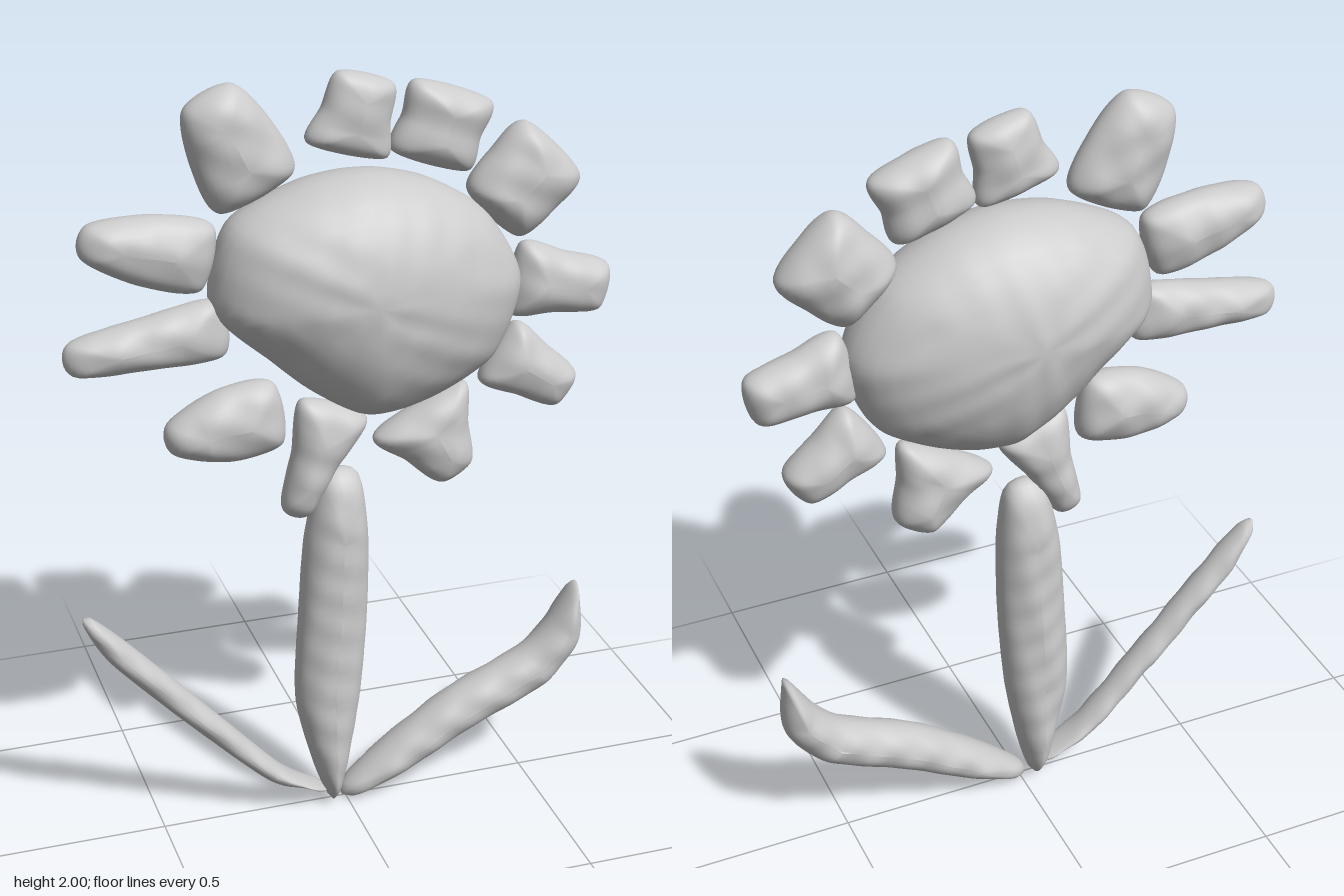
import * as THREE from 'three';
import { mergeVertices } from 'three/addons/utils/BufferGeometryUtils.js';

const material = new THREE.MeshStandardMaterial({ color: 0xcccccc, side: THREE.DoubleSide });

// Closest point to p on a polyline spine
function closestOnSpine(p, spine) {
  let best = spine[0];
  for (let i = 0; i + 1 < spine.length; i++) {
    const q = new THREE.Line3(spine[i], spine[i + 1]).closestPointToPoint(p, true, new THREE.Vector3());
    if (q.distanceTo(p) < best.distanceTo(p)) best = q;
  }
  return best;
}

// Pillow: a closed outline inflated in z, its rings shrinking onto a spine
function pillow(name, outline, spine, depth, segments = 96) {
  if (THREE.ShapeUtils.isClockWise(outline)) outline.reverse();
  const curve = new THREE.CatmullRomCurve3(outline, true, 'catmullrom', 0.4);
  const rim = curve.getSpacedPoints(segments).slice(0, segments);
  const cores = rim.map((p) => closestOnSpine(p, spine));
  const rings = 20, pos = [], index = [];
  for (let j = 0; j <= rings; j++) {
    const a = (j / rings - 0.5) * Math.PI;
    rim.forEach((p, i) => {
      const q = cores[i].clone().lerp(p, Math.max(Math.cos(a), 0));
      // gentle hand-modelled unevenness
      const lump = 0.004 * Math.sin(q.x * 47 + q.y * 23) * Math.sin(q.y * 41 - q.x * 19);
      pos.push(q.x, q.y, (depth + lump) * Math.sin(a));
      if (j < rings) {
        const n = (i + 1) % segments, r = j * segments, s = r + segments;
        index.push(r + i, r + n, s + i, r + n, s + n, s + i);
      }
    });
  }
  let geometry = new THREE.BufferGeometry();
  geometry.setAttribute('position', new THREE.Float32BufferAttribute(pos, 3));
  geometry.setIndex(index);
  geometry = mergeVertices(geometry, 1e-5);
  geometry.computeVertexNormals();
  const mesh = new THREE.Mesh(geometry, material);
  mesh.name = name;
  return mesh;
}

// Blade: a pillow along stations of x, y, half width
function blade(name, stations, depth) {
  const line = stations.map(([x, y]) => new THREE.Vector3(x, y, 0));
  const last = line.length - 1;
  const side = (sign) => line.map((p, i) => {
    const along = line[Math.min(i + 1, last)].clone().sub(line[Math.max(i - 1, 0)]).normalize();
    return new THREE.Vector3(-along.y, along.x, 0).multiplyScalar(sign * stations[i][2]).add(p);
  });
  // a three-station blade gets a short spine, a longer one drops its end stations
  const spine = last === 2
    ? [line[0].clone().lerp(line[2], 0.3), line[0].clone().lerp(line[2], 0.7)]
    : line.slice(1, -1);
  return pillow(name, [...side(1), ...side(-1).reverse()], spine, depth);
}

// Petals: root x, y, tip x, y, then half widths at root, middle and tip, half thickness
const petals = [
  [-.222, 1.73, -.335, 1.97, .1, .11, .065, .072],
  [0, 1.81, .05, 1.985, .1, .088, .07, .055],
  [.21, 1.765, .27, 1.935, .1, .105, .1, .065],
  [.375, 1.615, .53, 1.77, .09, .115, .1, .08],
  [.44, 1.44, .68, 1.393, .09, .08, .058, .065],
  [.4, 1.25, .585, 1.125, .085, .075, .05, .068],
  [.19, 1.12, .29, .935, .13, .095, .05, .07],
  [-.03, 1.15, -.135, .88, .09, .062, .035, .062],
  [-.175, 1.16, -.45, 1.12, .08, .095, .038, .07],
  [-.315, 1.4, -.685, 1.36, .07, .065, .04, .06],
  [-.345, 1.58, -.64, 1.65, .08, .087, .04, .068],
];

// Seed head radii, every 30 degrees anticlockwise from +x
const headRadii = [.4, .355, .315, .31, .335, .4, .39, .29, .28, .32, .335, .385];

export function createModel() {
  const flower = new THREE.Group();
  flower.name = 'flower';

  // Seed head
  const headOutline = headRadii.map((r, i) => {
    const a = (i * Math.PI) / 6;
    return new THREE.Vector3(0.05 + r * Math.cos(a), 1.45 + r * Math.sin(a), 0);
  });
  flower.add(pillow('flowerHead', headOutline, [new THREE.Vector3(0.02, 1.48, 0)], 0.21));

  // Petals around the head
  const ring = new THREE.Group();
  ring.name = 'petals';
  petals.forEach(([x0, y0, x1, y1, root, middle, tip, depth], i) => {
    const stations = [[x0, y0, root], [(x0 + x1) / 2, (y0 + y1) / 2, middle], [x1, y1, tip]];
    ring.add(blade(`petal${i + 1}`, stations, depth));
  });
  flower.add(ring);

  // Stem
  flower.add(blade('stem', [
    [-.015, .97, .045], [-.025, .8, .082], [-.035, .58, .09], [-.05, .33, .086], [-.045, .13, .045], [-.04, .02, .01],
  ], 0.077));

  // Thin straight leaf and broad curling leaf at the foot of the stem
  flower.add(blade('rightLeaf', [
    [-.68, .655, .012], [-.6, .55, .033], [-.4, .33, .033], [-.2, .12, .025], [-.12, .075, .01], [-.05, .04, .004],
  ], 0.042));
  flower.add(blade('leftLeaf', [
    [.643, .54, .008], [.61, .41, .052], [.525, .315, .063], [.32, .22, .063], [.14, .11, .05], [0, .025, .02],
  ], 0.065));
  return flower;
}
